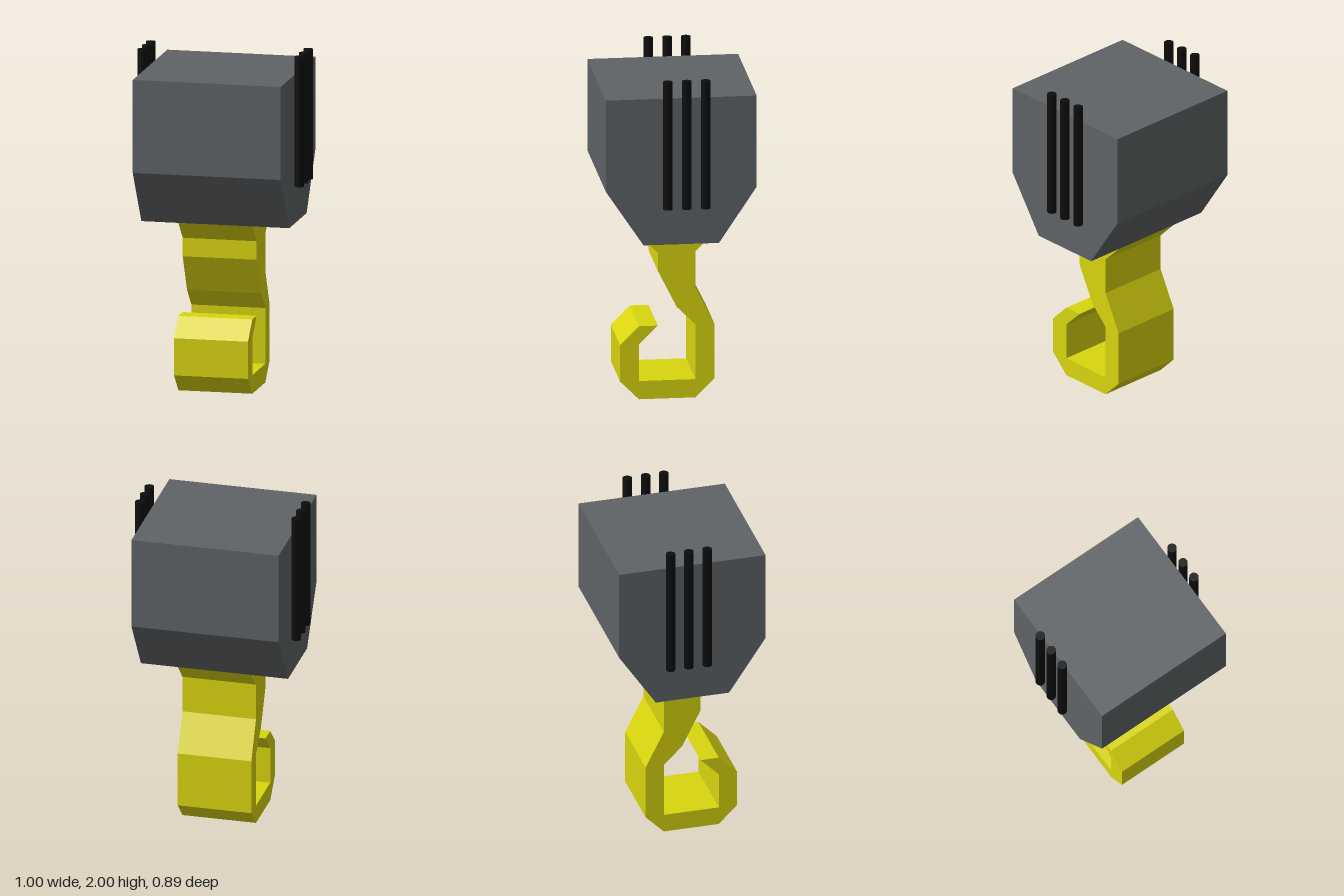
import * as THREE from 'three';

const yellow = new THREE.MeshStandardMaterial({ name: 'hookYellow', color: 0xd9d50f });
const grey = new THREE.MeshStandardMaterial({ name: 'blockGrey', color: 0x5f6366 });
const black = new THREE.MeshStandardMaterial({ name: 'cableBlack', color: 0x0d0d0d });

// All side profiles sit on a grid of one ninth of a unit
const U = 1 / 9;

// Extrude a [z, y] side profile across x, centred on x = 0
function sideExtrude(name, profile, width, material) {
  const shape = new THREE.Shape(profile.map(([z, y]) => new THREE.Vector2(-z * U, y * U)));
  const geometry = new THREE.ExtrudeGeometry(shape, { depth: width, bevelEnabled: false });
  geometry.translate(0, 0, -width / 2);
  geometry.rotateY(Math.PI / 2);
  const mesh = new THREE.Mesh(geometry, material);
  mesh.name = name;
  return mesh;
}

export function createModel() {
  const model = new THREE.Group();
  model.name = 'craneHook';

  // Pulley block, tapered front and back towards the bottom
  model.add(sideExtrude('pulleyBlock',
    [[-4, 17], [-4, 12], [-2, 9], [2, 9], [4, 12], [4, 17]], 8 * U, grey));

  // Hook: flared neck, bent shank, and an open loop facing the front
  model.add(sideExtrude('hook', [
    [2, 9], [1, 8], [1, 7], [0, 5], [-1, 4], [-1, 1], [2, 1], [2, 3], [1, 4], [2, 4],
    [3, 3], [3, 1], [2, 0], [-1, 0], [-2, 1], [-2, 4], [-1, 6], [-1, 8], [-2, 9],
  ], 4 * U, yellow));

  // Three cables on each side of the block
  const radius = U / 4;
  const cable = new THREE.CylinderGeometry(radius, radius, 7 * U, 24);
  for (const side of [1, -1]) {
    const cables = new THREE.Group();
    cables.name = side > 0 ? 'leftCables' : 'rightCables';
    for (const z of [-0.14, -0.029, 0.082]) {
      const mesh = new THREE.Mesh(cable, black);
      mesh.name = 'cable';
      mesh.position.set(side * (4 * U + radius), 14.5 * U, z);
      cables.add(mesh);
    }
    model.add(cables);
  }
  return model;
}
